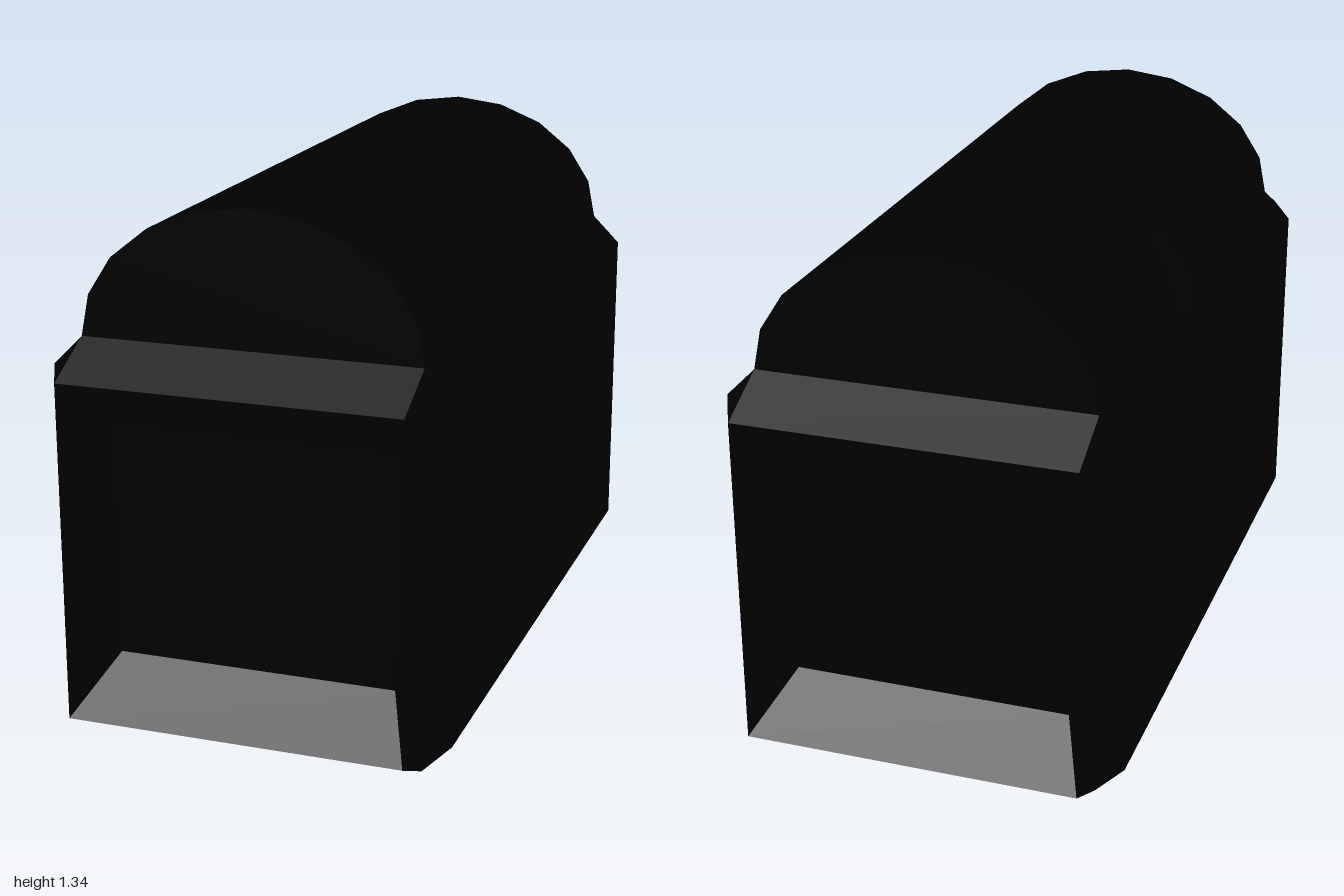
import * as THREE from 'three';

const material = new THREE.MeshStandardMaterial({ color: 0x000000, flatShading: true });

// Fan-triangulate a convex polygon so that its front faces the given direction
function addPolygon(out, pts, outward) {
  const normal = pts[1].clone().sub(pts[0]).cross(pts[2].clone().sub(pts[0]));
  const p = normal.dot(outward) < 0 ? [...pts].reverse() : pts;
  for (let i = 1; i < p.length - 1; i++) {
    for (const v of [p[0], p[i], p[i + 1]]) out.push(v.x, v.y, v.z);
  }
}

// Chamfered box whose four walls and underside are sunken panels
function bodyGeometry() {
  const full = [0.5, 0.5, 1];
  const edge = [0.425, 0.425, 0.85];
  const panel = [0.355, 0.295, 0.71];
  const panelCentre = [0, -0.01, 0];
  const depth = [0.083, 0.2, 0.16];
  const signs = [-1, 1];
  const loop = [[-1, -1], [1, -1], [1, 1], [-1, 1]];
  const out = [];
  // corner of the face on one axis, for a triple of signs
  const corner = (axis, s) =>
    new THREE.Vector3(...s.map((sign, i) => sign * (i === axis ? full[i] : edge[i])));
  const triple = (a, sa, b, sb, c, sc) => {
    const s = [0, 0, 0];
    s[a] = sa; s[b] = sb; s[c] = sc;
    return s;
  };

  for (let a = 0; a < 3; a++) {
    const b = (a + 1) % 3, c = (a + 2) % 3;
    for (const s of signs) {
      const outward = new THREE.Vector3().setComponent(a, s);
      const rim = loop.map(([u, v]) => corner(a, triple(a, s, b, u, c, v)));
      if (a === 1 && s === 1) {
        addPolygon(out, rim, outward);
      } else {
        // sloping border and sunken floor
        const floor = loop.map(([u, v]) => {
          const p = new THREE.Vector3();
          p.setComponent(a, s * (full[a] - depth[a]));
          p.setComponent(b, u * panel[b] + panelCentre[b]);
          p.setComponent(c, v * panel[c] + panelCentre[c]);
          return p;
        });
        addPolygon(out, floor, outward);
        for (let i = 0; i < 4; i++) {
          const j = (i + 1) % 4;
          addPolygon(out, [rim[i], rim[j], floor[j], floor[i]], outward);
        }
      }
      // chamfers between this axis and the next
      for (const t of signs) {
        const lo = triple(a, s, b, t, c, -1), hi = triple(a, s, b, t, c, 1);
        addPolygon(out, [corner(a, lo), corner(a, hi), corner(b, hi), corner(b, lo)],
          new THREE.Vector3().setComponent(a, s).setComponent(b, t));
      }
    }
  }
  // corner triangles
  for (const x of signs) for (const y of signs) for (const z of signs) {
    const s = [x, y, z];
    addPolygon(out, [0, 1, 2].map(a => corner(a, s)), new THREE.Vector3(...s));
  }

  const geometry = new THREE.BufferGeometry();
  geometry.setAttribute('position', new THREE.Float32BufferAttribute(out, 3));
  geometry.computeVertexNormals();
  return geometry;
}

// Straight prism from an outline, running from z0 to z1
function prism(name, points, z0, z1) {
  const geometry = new THREE.ExtrudeGeometry(new THREE.Shape(points),
    { depth: z1 - z0, bevelEnabled: false });
  geometry.translate(0, 0, z0);
  const mesh = new THREE.Mesh(geometry, material);
  mesh.name = name;
  return mesh;
}

export function createModel() {
  const group = new THREE.Group();
  group.name = 'chest';

  const body = new THREE.Mesh(bodyGeometry(), material);
  body.name = 'body';
  body.position.y = 0.5;
  group.add(body);

  // Barrel lid in ten flat strips
  const arc = [];
  for (let i = 0; i <= 10; i++) {
    const t = i * Math.PI / 10;
    arc.push(new THREE.Vector2(0.425 * Math.cos(t), 1 + 0.335 * Math.sin(t)));
  }
  group.add(prism('lid', arc, -0.85, 0.85));

  // Latch: a raised patch following the two lowest strips of one side
  const latch = [
    [-0.425, 1.003], [-0.404, 1.104], [-0.344, 1.197],
    [-0.385, 1.2], [-0.447, 1.107], [-0.468, 1.003],
  ].map(([x, y]) => new THREE.Vector2(x, y));
  group.add(prism('latch', latch, -0.17, 0.13));

  return group;
}
